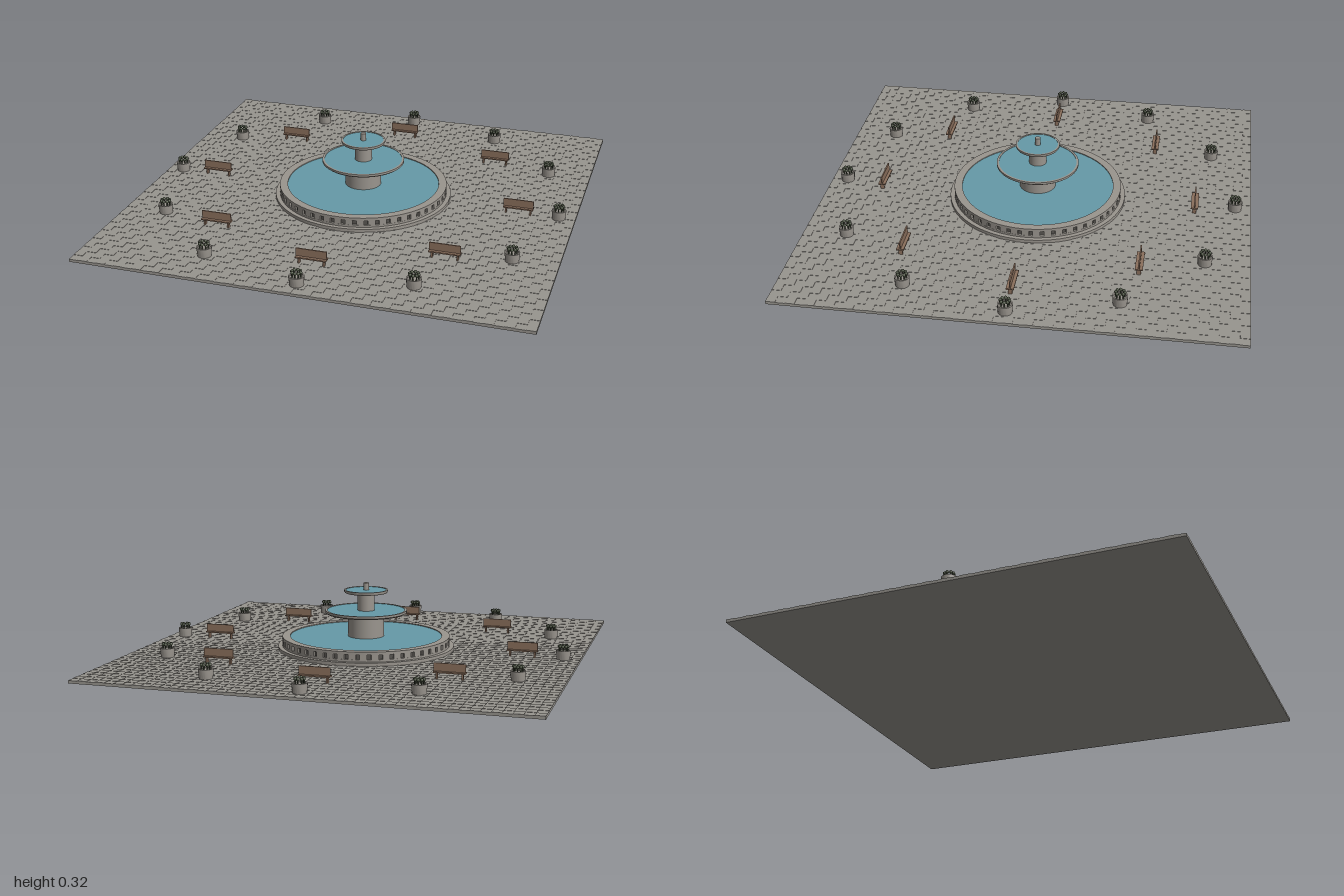
import * as THREE from 'three';
import { mergeGeometries, toCreasedNormals } from 'three/addons/utils/BufferGeometryUtils.js';

const material = (name, color) => {
  const m = new THREE.MeshStandardMaterial({ color });
  m.name = name;
  return m;
};

export function createModel() {
  const paving = material('paving stone', 0x98958f);
  const stone = material('fountain stone', 0x9a958e);
  const water = material('water', 0x669aa8);
  const wood = material('bench wood', 0x8a6f5c);
  const recess = material('dark recess', 0x55524e);
  const leaf = material('foliage', 0x4a5240);
  const root = new THREE.Group();
  root.name = 'fountainPlaza';

  const add = (parent, name, geometry, mat, x = 0, y = 0, z = 0) => {
    const mesh = new THREE.Mesh(geometry, mat);
    mesh.name = name;
    mesh.position.set(x, y, z);
    parent.add(mesh);
    return mesh;
  };
  const cyl = (rTop, rBottom, y0, y1, sides = 64) =>
    new THREE.CylinderGeometry(rTop, rBottom, y1 - y0, sides).translate(0, (y0 + y1) / 2, 0);
  const box = (w, h, d, x, y, z) => new THREE.BoxGeometry(w, h, d).translate(x, y, z);
  const turned = (points, sides = 64) => toCreasedNormals(
    new THREE.LatheGeometry(points.map(([r, y]) => new THREE.Vector2(r, y)), sides), 0.6);
  const ring = (ri, ro, y0, y1) => turned([[ri, y0], [ro, y0], [ro, y1], [ri, y1], [ri, y0]]);

  // Plaza slab with slightly raised pavers in a staggered pattern
  const GROUND = 0.014;
  add(root, 'slab', box(2, 0.0125, 2, 0, 0.00625, 0), paving);
  const pavers = [];
  const n = 48, size = 2 / n;
  for (let row = 0; row < n; row++) {
    for (let col = row % 2; col < n; col += 2) {
      const g = new THREE.PlaneGeometry(size, size).rotateX(-Math.PI / 2).translate(0, GROUND, 0);
      const sides = [0, 1, 2, 3].map(k => new THREE.PlaneGeometry(size, 0.0015)
        .translate(0, GROUND - 0.00075, size / 2).rotateY(k * Math.PI / 2));
      pavers.push(mergeGeometries([g, ...sides])
        .translate(-1 + (col + 0.5) * size, 0, -1 + (row + 0.5) * size));
    }
  }
  add(root, 'pavers', mergeGeometries(pavers), paving);

  // Lower basin: step, recessed wall, blocks and coping
  const fountain = new THREE.Group();
  fountain.name = 'fountain';
  root.add(fountain);
  add(fountain, 'basinStep', cyl(0.412, 0.412, 0.012, 0.028), stone);
  add(fountain, 'basinBase', ring(0.355, 0.392, 0.028, 0.038), stone);
  add(fountain, 'basinWall', ring(0.355, 0.382, 0.038, 0.06), recess);
  add(fountain, 'basinCoping', ring(0.355, 0.392, 0.06, 0.073), stone);
  const blocks = [];
  for (let i = 0; i < 48; i++) {
    blocks.push(box(0.033, 0.022, 0.014, 0, 0.049, 0.384).rotateY(i / 48 * Math.PI * 2));
  }
  add(fountain, 'basinBlocks', mergeGeometries(blocks), stone);
  add(fountain, 'basinWater', cyl(0.356, 0.356, 0.03, 0.069), water);

  // Pedestals and upper bowls
  const tier = (name, radius, lip, y0, y1) => {
    add(fountain, name + 'Bowl', turned([
      [0, y0], [radius * 0.96, y0], [radius, y0 + 0.006], [radius, y1],
      [radius - lip, y1], [radius - lip, y0 + 0.006], [0, y0 + 0.006]]), stone);
    add(fountain, name + 'Water', cyl(radius - lip, radius - lip, y0 + 0.005, y1 - 0.002), water);
  };
  add(fountain, 'lowerPedestal', cyl(0.084, 0.084, 0.03, 0.18, 48), stone);
  tier('middle', 0.191, 0.01, 0.177, 0.193);
  add(fountain, 'upperPedestal', cyl(0.04, 0.04, 0.18, 0.276, 40), stone);
  tier('top', 0.102, 0.008, 0.274, 0.288);
  add(fountain, 'spout', cyl(0.013, 0.013, 0.28, 0.32, 20), stone);

  // Eight double-sided benches, all parallel to x
  const benchWood = mergeGeometries([
    box(0.138, 0.006, 0.034, 0, 0.043, 0),
    box(0.138, 0.038, 0.006, 0, 0.062, 0),
    ...[-1, 1].map(s => box(0.007, 0.028, 0.018, s * 0.056, 0.027, 0)),
  ]);
  for (let i = 0; i < 8; i++) {
    const a = i * Math.PI / 4;
    add(root, 'bench', benchWood, wood, 0.74 * Math.sin(a), 0, 0.74 * Math.cos(a));
  }

  // Twelve round planters with clumps of foliage
  const pot = turned([[0, GROUND], [0.03, GROUND], [0.033, 0.052], [0.033, 0.056],
    [0.027, 0.056], [0.027, 0.051], [0, 0.051]], 20);
  const clump = [];
  for (let i = 0; i < 8; i++) {
    const a = i * Math.PI / 4;
    const x = 0.019 * Math.cos(a), z = 0.019 * Math.sin(a);
    clump.push(cyl(0.003, 0.003, 0.05, 0.072, 6).translate(x, 0, z));
    clump.push(new THREE.SphereGeometry(0.0075, 8, 6).translate(x, 0.073, z));
  }
  const foliage = mergeGeometries(clump);
  for (let i = 0; i < 12; i++) {
    const a = i * Math.PI / 6;
    const planter = new THREE.Group();
    planter.name = 'planter';
    planter.position.set(0.925 * Math.sin(a), 0, 0.925 * Math.cos(a));
    add(planter, 'pot', pot, stone);
    add(planter, 'foliage', foliage, leaf);
    root.add(planter);
  }
  return root;
}
